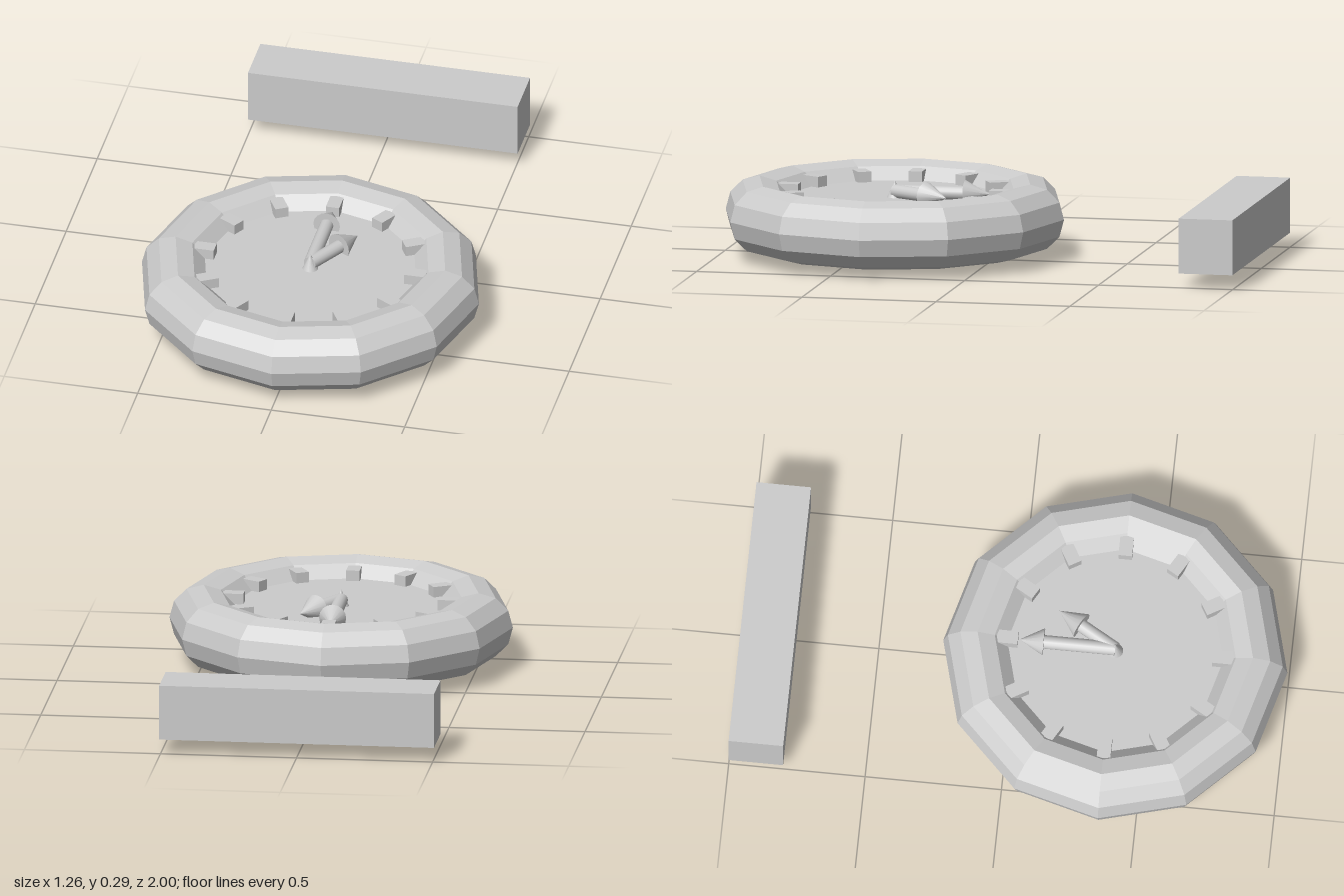
import * as THREE from 'three';

const mat = new THREE.MeshStandardMaterial({ color: 0xcccccc });
const flat = new THREE.MeshStandardMaterial({ color: 0xcccccc, flatShading: true });

function part(name, geometry, material, parent, x = 0, y = 0, z = 0) {
  const mesh = new THREE.Mesh(geometry, material);
  mesh.name = name;
  mesh.position.set(x, y, z);
  parent.add(mesh);
  return mesh;
}

// Arrow-shaped hand lying along -z, turned clockwise by angle
function makeHand(name, shaftLength, tipLength, angle) {
  const hand = new THREE.Group();
  hand.name = name;
  const shaft = new THREE.CylinderGeometry(0.025, 0.025, shaftLength, 16).rotateX(-Math.PI / 2);
  const tip = new THREE.ConeGeometry(0.05, tipLength, 16).rotateX(-Math.PI / 2);
  part(name + 'Shaft', shaft, mat, hand, 0, 0, -shaftLength / 2);
  part(name + 'Tip', tip, mat, hand, 0, 0, -shaftLength - tipLength / 2);
  hand.rotation.y = -angle;
  return hand;
}

// Both hands and the centre pin for one face
function makeHands(name) {
  const hands = new THREE.Group();
  hands.name = name;
  const minute = makeHand('minuteHand', 0.262, 0.09, 0);
  const hour = makeHand('hourHand', 0.152, 0.1, Math.PI / 6);
  minute.position.y = hour.position.y = 0.095;
  hands.add(minute, hour);
  part('centrePin', new THREE.ConeGeometry(0.035, 0.075, 16), mat, hands, 0, 0.0975, 0);
  return hands;
}

export function createModel() {
  const model = new THREE.Group();
  model.name = 'doubleFacedClock';

  const clock = new THREE.Group();
  clock.name = 'clock';
  clock.position.set(0, 0.155, 0.367);
  model.add(clock);

  // Faceted ring and the dial inside it
  part('rim', new THREE.TorusGeometry(0.505, 0.126, 12, 12).rotateX(Math.PI / 2), flat, clock);
  part('dial', new THREE.CylinderGeometry(0.42, 0.42, 0.126, 12), flat, clock);

  // Hour markers pass through the dial and show on both sides
  for (let i = 0; i < 12; i++) {
    const a = (i * Math.PI) / 6;
    const marker = part('hourMarker', new THREE.BoxGeometry(0.05, 0.22, 0.077), flat, clock,
      Math.sin(a) * 0.395, -0.008, Math.cos(a) * 0.395);
    marker.rotation.y = a;
  }

  // One set of hands per face
  const upper = makeHands('upperHands');
  const lower = makeHands('lowerHands');
  upper.position.y = lower.position.y = -0.01;
  lower.rotation.z = Math.PI;
  clock.add(upper, lower);

  // Separate mounting bar behind the clock
  part('mountingBar', new THREE.BoxGeometry(1.01, 0.203, 0.2), flat, model, 0, 0.155, -0.9);
  return model;
}
